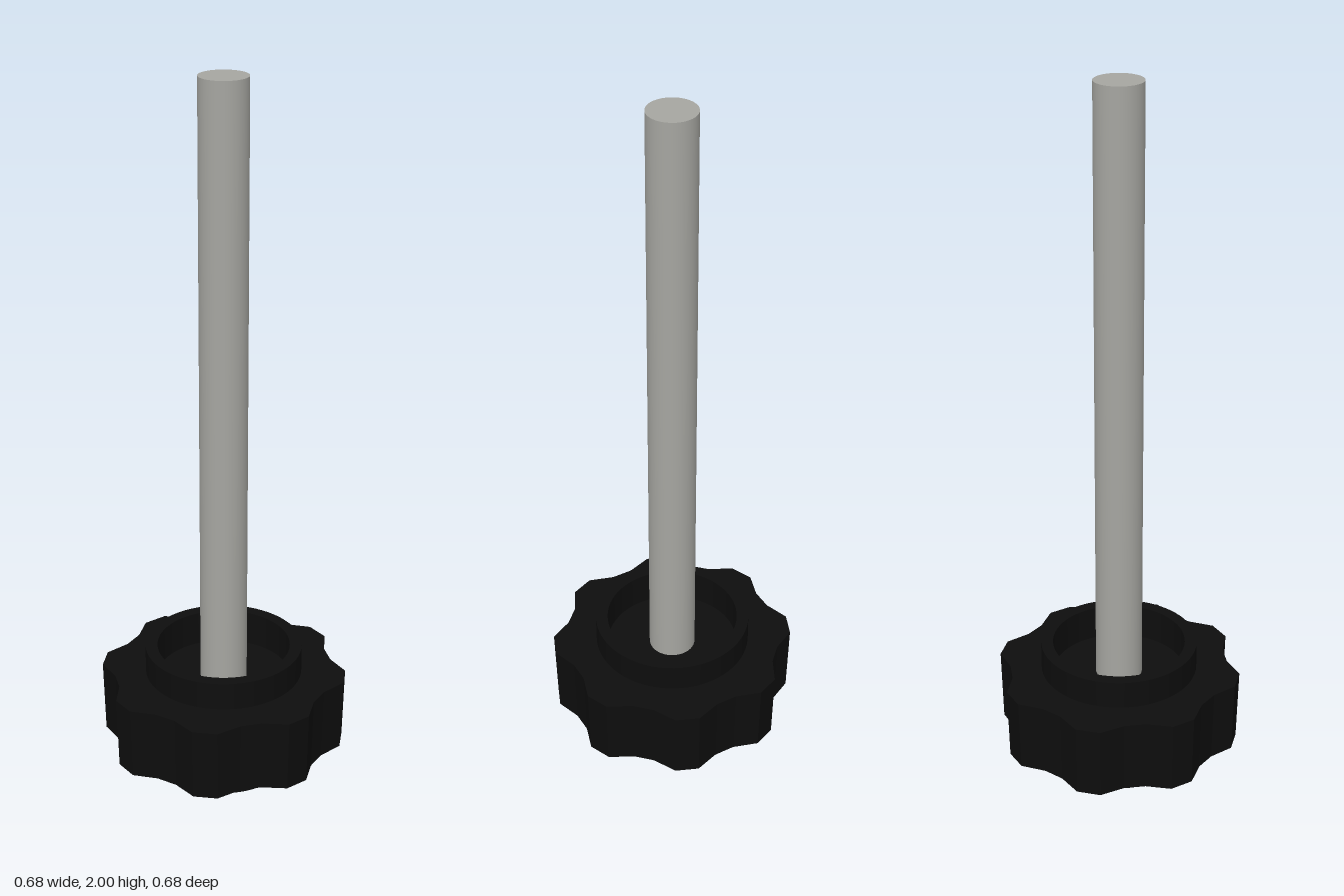
import * as THREE from 'three';

// Lathe with every profile corner doubled so that edges stay sharp
function sharpLathe(profile, material, name) {
  const pts = profile.flatMap(([r, y]) => [new THREE.Vector2(r, y), new THREE.Vector2(r, y)]);
  const mesh = new THREE.Mesh(new THREE.LatheGeometry(pts.slice(1, -1), 64), material);
  mesh.name = name;
  return mesh;
}

export function createModel() {
  const black = new THREE.MeshStandardMaterial({ color: 0x0d0d0d });
  black.name = 'black plastic';
  const steel = new THREE.MeshStandardMaterial({ color: 0xa5a5a0 });
  steel.name = 'grey steel';

  const group = new THREE.Group();
  group.name = 'clampingKnob';

  // Eight-lobed grip: two outer and two inner points per lobe
  const outline = [];
  for (let k = 0; k < 32; k++) {
    const r = k % 4 === 1 || k % 4 === 2 ? 0.347 : 0.311;
    const a = (k * Math.PI) / 16;
    outline.push(new THREE.Vector2(r * Math.cos(a), r * Math.sin(a)));
  }
  const shape = new THREE.Shape(outline);
  const hole = new THREE.Path();
  hole.absarc(0, 0, 0.205, 0, Math.PI * 2, true);
  shape.holes.push(hole);
  const gripGeo = new THREE.ExtrudeGeometry(shape, { depth: 0.21, bevelEnabled: false, curveSegments: 32 });
  gripGeo.rotateX(Math.PI / 2).translate(0, 0.3, 0);
  // Slight taper towards the underside
  const p = gripGeo.attributes.position;
  for (let i = 0; i < p.count; i++) {
    const s = p.getY(i) < 0.2 ? 0.985 : 1;
    p.setXYZ(i, p.getX(i) * s, p.getY(i), p.getZ(i) * s);
  }
  gripGeo.computeVertexNormals();
  const grip = new THREE.Mesh(gripGeo, black);
  grip.name = 'lobedGrip';
  group.add(grip);

  // Hub below the grip, with its underside rim
  group.add(sharpLathe([[0.16, 0], [0.187, 0], [0.187, 0.09], [0.222, 0.09]], black, 'hub'));

  // Raised collar with a recessed floor
  group.add(sharpLathe([[0.222, 0.29], [0.222, 0.38], [0.188, 0.38], [0.188, 0.28], [0.05, 0.28]], black, 'collar'));

  // Steel insert showing on the underside
  const insert = new THREE.Mesh(new THREE.CylinderGeometry(0.16, 0.16, 0.08, 64), steel);
  insert.name = 'insert';
  insert.position.y = 0.04;
  group.add(insert);

  // Long round shaft
  const shaft = new THREE.Mesh(new THREE.CylinderGeometry(0.066, 0.066, 1.94, 48), steel);
  shaft.name = 'shaft';
  shaft.position.y = 1.03;
  group.add(shaft);

  return group;
}
